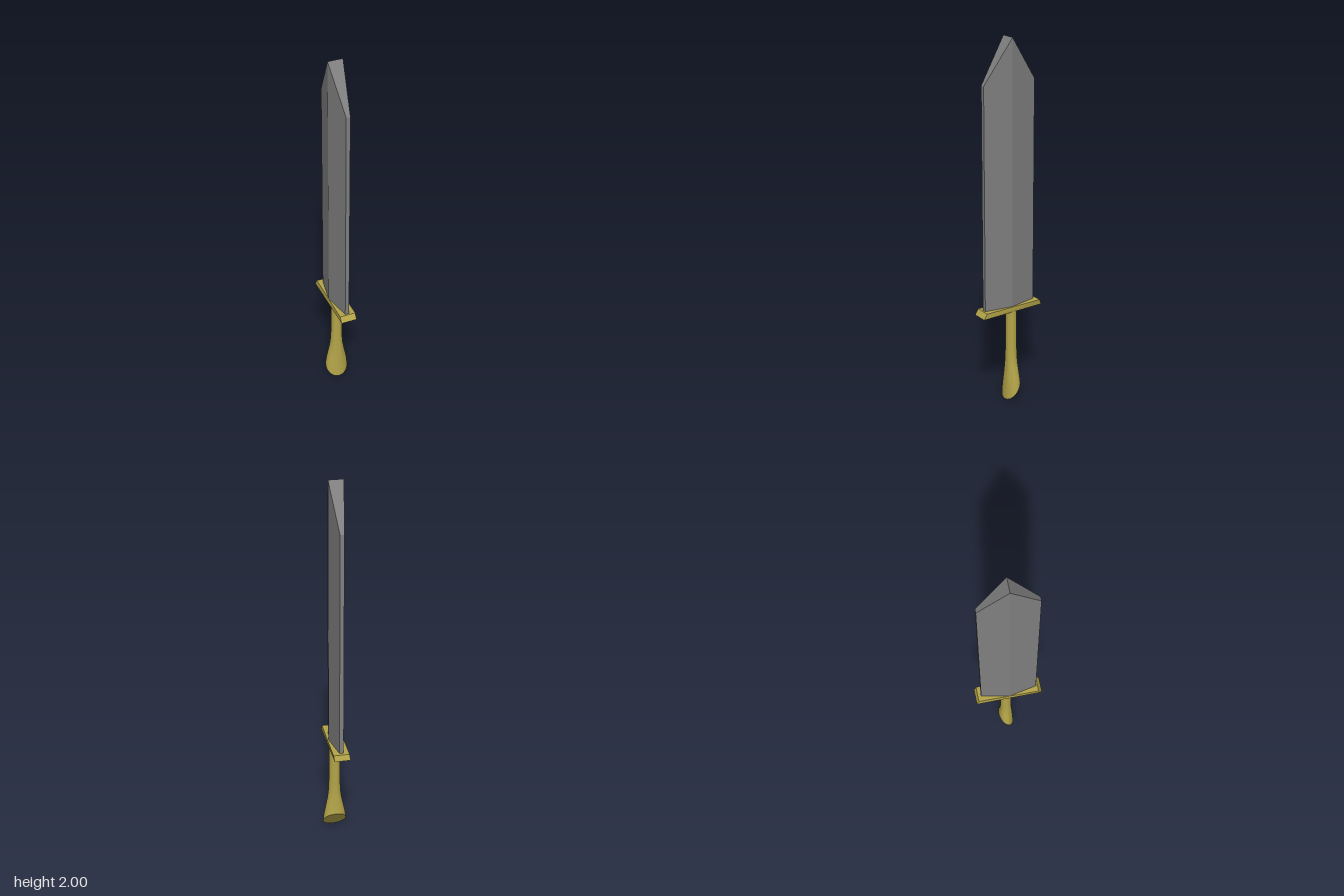
import * as THREE from 'three';
import { toCreasedNormals } from 'three/addons/utils/BufferGeometryUtils.js';

// Skin between rings (listed bottom to top, points counterclockwise from above), closed at both ends
function loft(name, rings, color, crease) {
  const n = rings[0].length, last = (rings.length - 1) * n, index = [];
  for (let i = 0; i < rings.length - 1; i++) {
    for (let j = 0; j < n; j++) {
      const k = (j + 1) % n;
      const a = i * n + j, b = i * n + k, c = b + n, d = a + n;
      index.push(a, b, c, a, c, d);
    }
  }
  for (let j = 1; j < n - 1; j++) {
    index.push(0, j + 1, j, last, last + j, last + j + 1);
  }
  const geometry = new THREE.BufferGeometry();
  geometry.setAttribute('position', new THREE.Float32BufferAttribute(rings.flat(2), 3));
  geometry.setIndex(index);
  const mesh = new THREE.Mesh(toCreasedNormals(geometry, crease), new THREE.MeshStandardMaterial({ color }));
  mesh.name = name;
  return mesh;
}

export function createModel() {
  const group = new THREE.Group();
  group.name = 'sword';
  const gold = 0xb3a449, steel = 0x808080;

  // Blade: hexagonal section, cut to a wide chisel ridge at the tip
  const bladeRing = (edgeY, ridgeY) => [
    [0.03, ridgeY, 0], [0.002, edgeY, -0.155], [-0.02, edgeY, -0.155],
    [-0.05, ridgeY, 0], [-0.02, edgeY, 0.155], [0.002, edgeY, 0.155],
  ];
  group.add(loft('blade', [bladeRing(0.54, 0.54), bladeRing(1.77, 2)], steel, 0.05));

  // Guard: slightly skewed bar with sloping ends
  const guardRing = (y, front, back, shift) => [
    [-0.053, y, front], [0.034, y, front], [0.034 + shift, y, back], [-0.052 + shift, y, back],
  ];
  group.add(loft('guard', [guardRing(0.525, 0.184, -0.186, 0), guardRing(0.555, 0.164, -0.173, 0.004)], gold, 0.1));

  // Grip: round at the guard, flaring sideways to an obliquely cut end
  const sides = 28;
  const gripRing = ([y, rx, rz, slope]) => Array.from({ length: sides }, (_, j) => {
    const a = (j / sides) * Math.PI * 2;
    return [rx * Math.sin(a), y - slope * Math.cos(a), -0.012 + rz * Math.cos(a)];
  });
  const gripProfile = [ // height, half width, half depth, tilt of the cut
    [0.057, 0.064, 0.043, 0.057],
    [0.10, 0.059, 0.040, 0.04],
    [0.15, 0.049, 0.037, 0.025],
    [0.20, 0.039, 0.034, 0.012],
    [0.24, 0.034, 0.032, 0.005],
    [0.30, 0.031, 0.031, 0],
    [0.53, 0.029, 0.030, 0],
  ];
  group.add(loft('grip', gripProfile.map(gripRing), gold, 0.6));

  return group;
}
